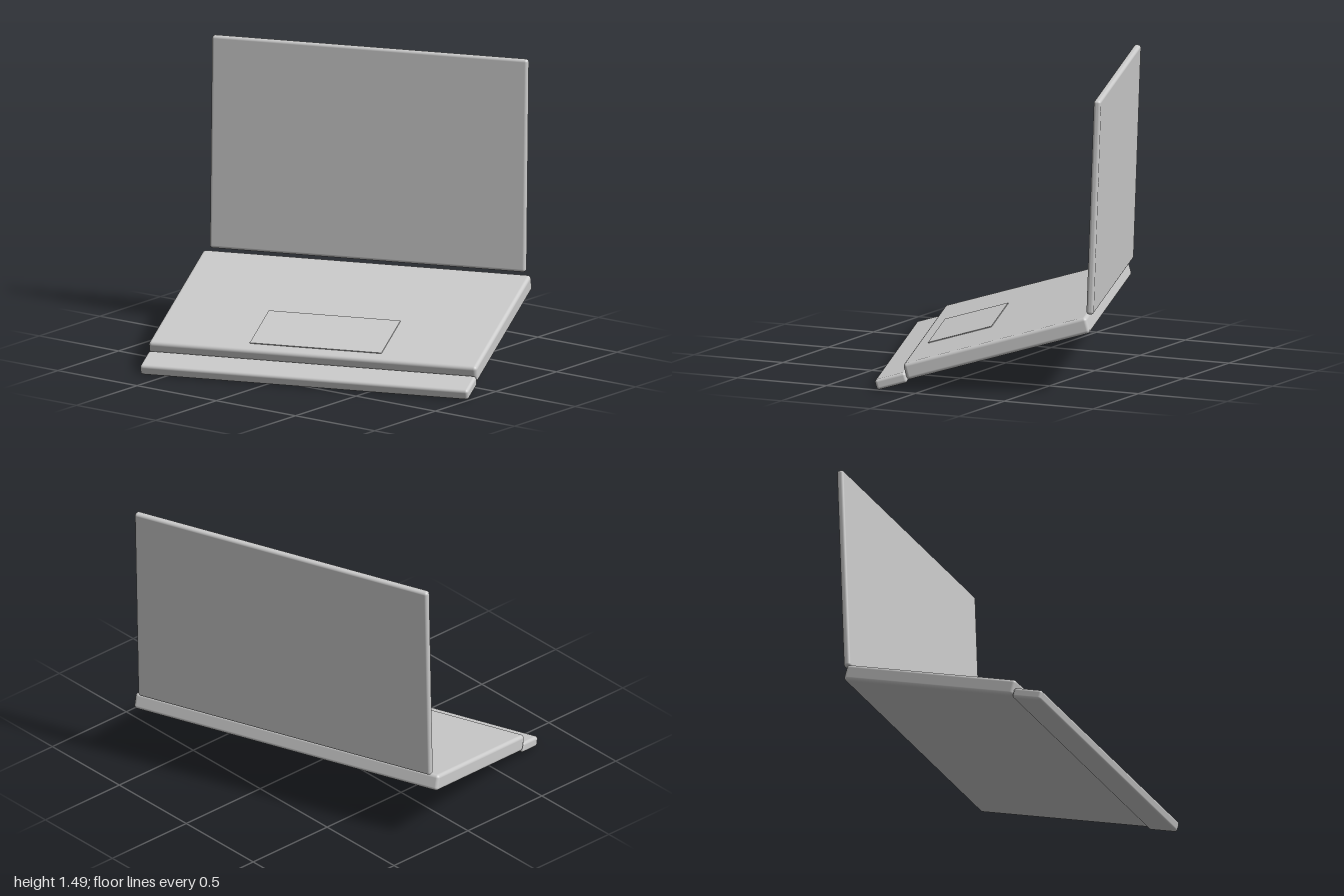
import * as THREE from 'three';
import { RoundedBoxGeometry } from 'three/addons/geometries/RoundedBoxGeometry.js';

const DEG = Math.PI / 180;
const material = new THREE.MeshStandardMaterial({ color: 0xcccccc });

// Soft-edged slab, placed by its centre
function slab(name, size, position, radius) {
  const mesh = new THREE.Mesh(new RoundedBoxGeometry(...size, 4, radius), material);
  mesh.name = name;
  mesh.position.set(...position);
  return mesh;
}

export function createModel() {
  const model = new THREE.Group();
  model.name = 'laptop';

  // Whole laptop is turned on the ground
  const turned = new THREE.Group();
  turned.name = 'turnedLaptop';
  turned.rotation.y = 20 * DEG;
  turned.position.x = -0.003;
  model.add(turned);

  // Sloping body; its origin is the lower front edge of the base
  const body = new THREE.Group();
  body.name = 'body';
  body.position.set(0, 0.0515, 0.395);
  body.rotation.x = 15.6 * DEG;
  turned.add(body);

  const width = 1.724;
  body.add(slab('base', [width, 0.085, 0.962], [0, 0.0425, -0.481], 0.018));
  body.add(slab('frontLip', [width, 0.054, 0.161], [0, 0.015, 0.0805], 0.015));

  // Touch pad, barely proud of the base
  const pad = new THREE.Mesh(new THREE.BoxGeometry(0.692, 0.012, 0.332), material);
  pad.name = 'touchPad';
  pad.position.set(-0.002, 0.083, -0.235);
  body.add(pad);

  // Screen leans back slightly, standing at the rear edge
  const screen = new THREE.Group();
  screen.name = 'screen';
  screen.position.set(0, 0.398, -0.524);
  screen.rotation.x = -2 * DEG;
  screen.add(slab('screenPanel', [1.66, 1.092, 0.037], [0, 0.546, 0], 0.015));
  turned.add(screen);

  return model;
}
